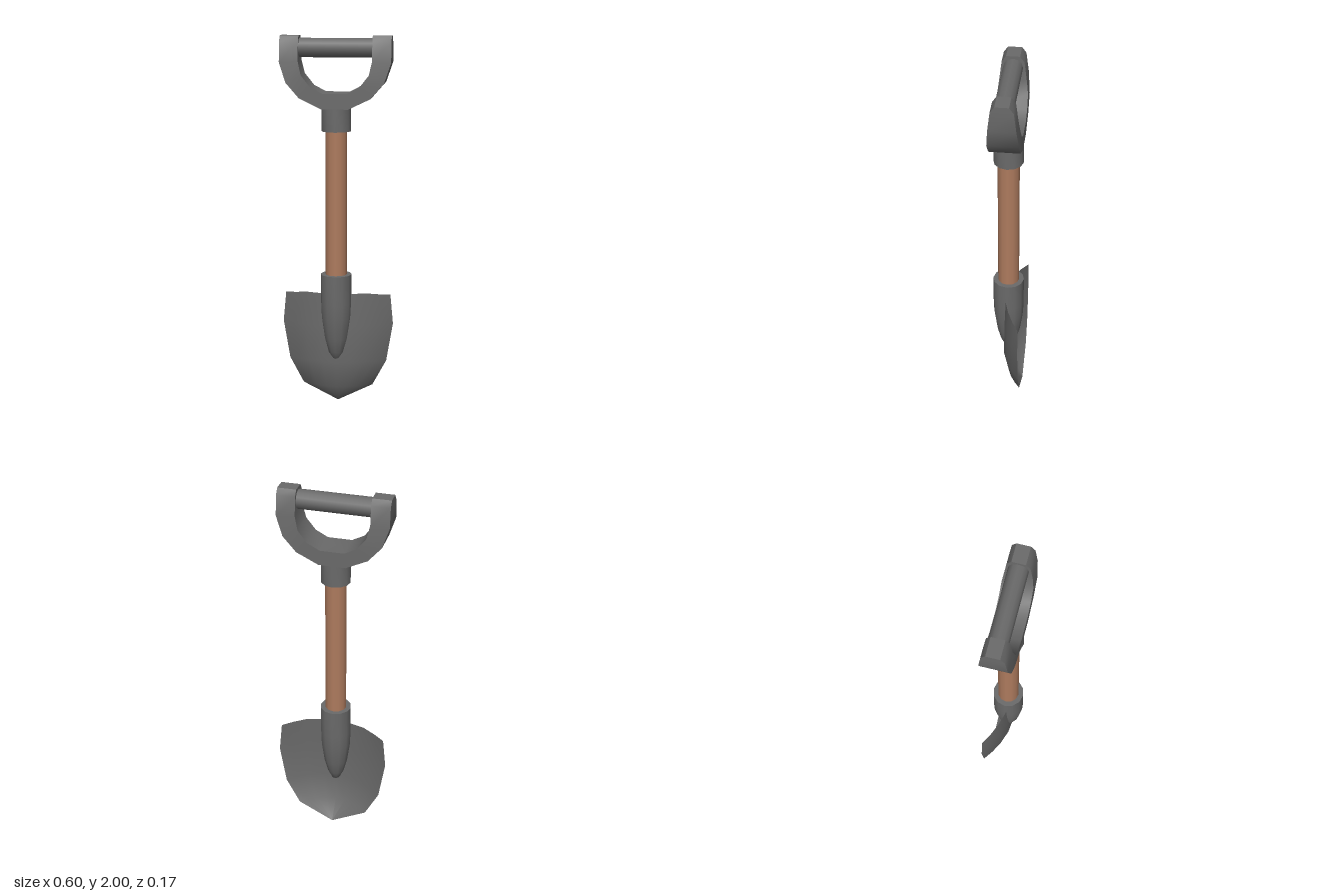
import * as THREE from 'three';
import { toCreasedNormals } from 'three/addons/utils/BufferGeometryUtils.js';

const metal = new THREE.MeshStandardMaterial({ color: 0x6a6a6a });
metal.name = 'grey metal';
const bladeMetal = metal;
bladeMetal.side = THREE.DoubleSide;
const wood = new THREE.MeshStandardMaterial({ color: 0xae7b5e });
wood.name = 'brown wood';

function part(name, geometry, material, parent) {
  const mesh = new THREE.Mesh(geometry, material);
  mesh.name = name;
  parent.add(mesh);
  return mesh;
}

// Turned part with a crisp rim and smooth sides
function turned(points) {
  const profile = points.map(([r, y]) => new THREE.Vector2(r, y));
  return toCreasedNormals(new THREE.LatheGeometry(profile, 12), 0.8);
}

// Dished blade: rows run from the top edge to the tip
function bladeGeometry() {
  // half width, side y, middle y, middle z
  const rows = [
    [0.285, 0.61, 0.63, 0.015],
    [0.3, 0.45, 0.45, 0.022],
    [0.265, 0.24, 0.25, 0.026],
    [0.19, 0.1, 0.105, 0],
    [0, 0.005, 0.005, -0.08],
  ];
  const columns = [-1, -0.8, -0.56, -0.28, 0, 0.28, 0.56, 0.8, 1];
  const positions = [], index = [], n = columns.length;
  rows.forEach(([w, ySide, yMid, zMid], r) => columns.forEach((u, c) => {
    const t = Math.max(0, (Math.abs(u) - 0.56) / 0.44);
    positions.push(u * w, yMid + (ySide - yMid) * t, zMid - (zMid + 0.08) * u * u);
    if (r < rows.length - 1 && c < n - 1) {
      const a = r * n + c, b = a + n;
      index.push(a, b, a + 1);
      if (r < rows.length - 2) index.push(b, b + 1, a + 1);
    }
  }));
  const geometry = new THREE.BufferGeometry();
  geometry.setAttribute('position', new THREE.Float32BufferAttribute(positions, 3));
  geometry.setIndex(index);
  geometry.computeVertexNormals();
  return geometry;
}

// U-shaped yoke: rectangular sections swept around, thinner towards the top
function yokeGeometry() {
  // outer x, outer y, inner x, inner y
  const side = [
    [0.29, 2, 0.192, 2],
    [0.29, 1.97, 0.192, 1.97],
    [0.29, 1.865, 0.192, 1.87],
    [0.255, 1.76, 0.176, 1.8],
    [0.185, 1.68, 0.127, 1.738],
    [0.07, 1.625, 0.063, 1.705],
  ];
  const mirrored = side.map(([a, b, c, d]) => [-a, b, -c, d]).reverse();
  const depth = (y) => {
    if (y > 1.97) return THREE.MathUtils.mapLinear(y, 1.97, 2, 0.057, 0.035);
    return y > 1.79 ? THREE.MathUtils.mapLinear(y, 1.79, 1.97, 0.079, 0.057) : 0.079;
  };
  const positions = [], index = [];
  const sections = [...side, ...mirrored];
  sections.forEach(([xo, yo, xi, yi], s) => {
    const o = depth(yo), i = depth(yi);
    positions.push(xo, yo, o, xo, yo, -o, xi, yi, -i, xi, yi, i);
    if (s === sections.length - 1) return;
    for (let k = 0; k < 4; k++) {
      const a = s * 4 + k, b = s * 4 + (k + 1) % 4;
      index.push(a, a + 4, b, b, a + 4, b + 4);
    }
  });
  const e = (sections.length - 1) * 4;
  index.push(0, 1, 2, 0, 2, 3, e, e + 2, e + 1, e, e + 3, e + 2);
  const geometry = new THREE.BufferGeometry();
  geometry.setAttribute('position', new THREE.Float32BufferAttribute(positions, 3));
  geometry.setIndex(index);
  return toCreasedNormals(geometry, 0.62);
}

export function createModel() {
  const shovel = new THREE.Group();
  shovel.name = 'shovel';

  part('blade', bladeGeometry(), bladeMetal, shovel);
  part('socket', turned([
    [0, 0.255], [0.022, 0.263], [0.044, 0.31], [0.064, 0.385],
    [0.08, 0.5], [0.083, 0.58], [0.083, 0.737], [0.05, 0.737],
  ]), metal, shovel);

  // Wooden shaft runs from inside the socket into the collar
  part('shaft', new THREE.CylinderGeometry(0.057, 0.057, 0.9, 12).translate(0, 1.12, 0), wood, shovel);
  part('collar', turned([
    [0.05, 1.505], [0.078, 1.505], [0.078, 1.64], [0, 1.64],
  ]), metal, shovel);

  // Grip
  const grip = new THREE.Group();
  grip.name = 'grip';
  shovel.add(grip);
  part('yoke', yokeGeometry(), metal, grip);
  const bar = part('gripBar', new THREE.CylinderGeometry(0.05, 0.05, 0.4, 12), metal, grip);
  bar.rotation.z = Math.PI / 2;
  bar.position.y = 1.937;

  return shovel;
}
